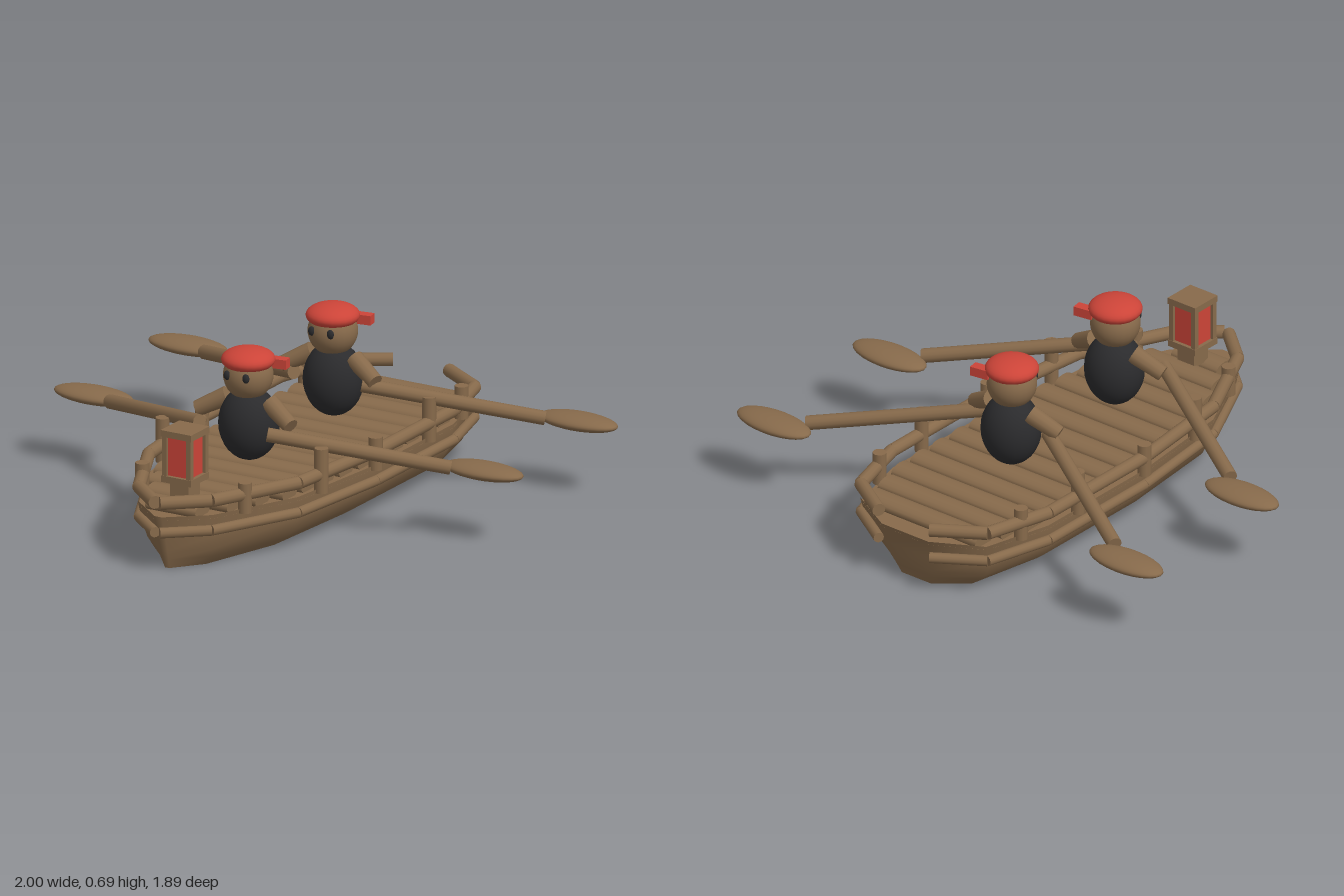
import * as THREE from 'three';

const wood = new THREE.MeshStandardMaterial({ name: 'brown wood', color: 0x876a4b });
const red = new THREE.MeshStandardMaterial({ name: 'red', color: 0xcc4438 });
const black = new THREE.MeshStandardMaterial({ name: 'black', color: 0x2b2b2d });

const V = (x, y, z) => new THREE.Vector3(x, y, z);

function add(parent, name, geometry, material, x = 0, y = 0, z = 0) {
  const mesh = new THREE.Mesh(geometry, material);
  mesh.name = name;
  mesh.position.set(x, y, z);
  parent.add(mesh);
  return mesh;
}

// Cylinder between two points
function rod(parent, name, a, b, r0, r1 = r0, material = wood) {
  const d = b.clone().sub(a);
  const mesh = add(parent, name, new THREE.CylinderGeometry(r1, r0, d.length(), 12), material);
  mesh.position.copy(a).add(b).multiplyScalar(0.5);
  mesh.quaternion.setFromUnitVectors(V(0, 1, 0), d.normalize());
  return mesh;
}

function ellipsoid(parent, name, rx, ry, rz, material, x, y, z) {
  const geometry = new THREE.SphereGeometry(1, 24, 16).scale(rx, ry, rz);
  return add(parent, name, geometry, material, x, y, z);
}

// Half outline of the boat, bow to stern: [half width, z]
const outline = [[0.015, 0.92], [0.16, 0.8], [0.32, 0.46], [0.37, 0], [0.37, -0.55], [0.3, -0.82], [0.11, -0.925]];

function halfWidth(z) {
  for (let i = 1; i < outline.length; i++) {
    const [w0, z0] = outline[i - 1], [w1, z1] = outline[i];
    if (z >= z1) return w0 + (w1 - w0) * (z0 - z) / (z0 - z1);
  }
  return 0.11;
}

// Hull lofted from scaled copies of the outline, with closed bottom and deck
function buildHull(boat) {
  const ring = [...outline, ...outline.map(([w, z]) => [-w, z]).reverse()];
  const n = ring.length;
  const levels = [[0, 0.62, 0.93], [0.035, 0.77, 0.94], [0.07, 0.89, 0.952], [0.13, 0.98, 0.97], [0.215, 1, 1]];
  const pos = [], idx = [];
  levels.forEach(([y, sx, sz]) => ring.forEach(([x, z]) => pos.push(x * sx, y, z * sz)));
  for (let l = 0; l < levels.length - 1; l++) {
    for (let i = 0; i < n; i++) {
      const j = (i + 1) % n;
      const a = l * n + i, b = l * n + j, c = b + n, d = a + n;
      idx.push(a, b, c, a, c, d);
    }
  }
  const side = new THREE.BufferGeometry();
  side.setAttribute('position', new THREE.Float32BufferAttribute(pos, 3));
  side.setIndex(idx);
  side.computeVertexNormals();
  add(boat, 'hull', side, wood);

  const cap = (name, y, sx, sz, up) => {
    const p = [0, y, 0], f = [];
    ring.forEach(([x, z], i) => {
      p.push(x * sx, y, z * sz);
      const a = i + 1, b = (i + 1) % n + 1;
      f.push(0, up ? a : b, up ? b : a);
    });
    const g = new THREE.BufferGeometry();
    g.setAttribute('position', new THREE.Float32BufferAttribute(p, 3));
    g.setIndex(f);
    g.computeVertexNormals();
    add(boat, name, g, wood);
  };
  cap('hullBottom', 0, 0.62, 0.93, false);
  cap('hullFloor', 0.2, 0.998, 0.995, true);
}

function buildRails(boat) {
  const path = [[0.01, 0.925], [0.155, 0.8], [0.32, 0.46], [0.372, 0], [0.372, -0.55], [0.3, -0.815], [0.12, -0.93]];
  for (const s of [1, -1]) {
    for (const [name, y, r] of [['lowerRail', 0.155, 0.02], ['upperRail', 0.27, 0.025]]) {
      for (let i = 1; i < path.length; i++) {
        const [x0, z0] = path[i - 1], [x1, z1] = path[i];
        rod(boat, name, V(s * x0, y, z0), V(s * x1, y, z1), r);
      }
    }
    // Rail posts and taller oar posts
    for (const [x, z, top] of [[0.22, 0.67, 0.315], [0.372, 0, 0.325], [0.335, -0.665, 0.325], [0.34, 0.33, 0.37], [0.37, -0.38, 0.37]]) {
      rod(boat, top > 0.35 ? 'oarPost' : 'railPost', V(s * x, 0.2, z), V(s * x, top, z), 0.026);
    }
  }
}

// Rounded deck planks running across the boat
function buildPlanks(boat) {
  for (let i = 0; i < 15; i++) {
    const z = -0.79 + i * 0.1125;
    const w = Math.min(halfWidth(z) - 0.045, halfWidth(z + 0.05) - 0.01);
    const g = new THREE.CylinderGeometry(1, 1, 2 * w, 16).rotateZ(Math.PI / 2).scale(1, 0.028, 0.051);
    add(boat, 'deckPlank', g, wood, 0, 0.218, z);
  }
}

function buildRower(z) {
  const rower = new THREE.Group();
  rower.name = 'rower';
  rower.position.z = z;
  ellipsoid(rower, 'body', 0.115, 0.14, 0.108, black, 0, 0.395, 0);
  ellipsoid(rower, 'head', 0.093, 0.093, 0.093, wood, 0, 0.582, 0.005);
  ellipsoid(rower, 'cap', 0.1, 0.045, 0.1, red, 0, 0.642, 0.005);
  const knot = add(rower, 'capKnot', new THREE.BoxGeometry(0.075, 0.036, 0.04), red, 0.09, 0.625, -0.06);
  knot.rotation.y = 0.15;
  for (const s of [1, -1]) {
    ellipsoid(rower, 'eye', 0.014, 0.018, 0.01, black, s * 0.04, 0.595, 0.088);
    rod(rower, 'arm', V(s * 0.09, 0.485, 0), V(s * 0.2, 0.425, 0.035), 0.036, 0.03);
  }
  return rower;
}

// Pair of oars; z is the position of the blades
function buildOars(z) {
  const oars = new THREE.Group();
  oars.name = 'oarPair';
  oars.position.z = z;
  for (const s of [1, -1]) {
    rod(oars, 'oarShaft', V(s * 0.145, 0.405, 0.39), V(s * 0.73, 0.285, 0.06), 0.027);
    ellipsoid(oars, 'oarBlade', 0.165, 0.03, 0.075, wood, s * 0.835, 0.275, 0);
  }
  return oars;
}

function buildLantern() {
  const lantern = new THREE.Group();
  lantern.name = 'lantern';
  lantern.position.set(0, 0, 0.73);
  add(lantern, 'lanternStand', new THREE.BoxGeometry(0.08, 0.07, 0.08), wood, 0, 0.27, 0);
  add(lantern, 'lanternBase', new THREE.BoxGeometry(0.128, 0.025, 0.128), wood, 0, 0.315, 0);
  add(lantern, 'lanternRoof', new THREE.BoxGeometry(0.13, 0.025, 0.13), wood, 0, 0.49, 0);
  add(lantern, 'lanternGlass', new THREE.BoxGeometry(0.1, 0.15, 0.1), red, 0, 0.402, 0);
  for (const x of [-0.052, 0.052]) for (const z of [-0.052, 0.052]) {
    add(lantern, 'lanternCorner', new THREE.BoxGeometry(0.02, 0.155, 0.02), wood, x, 0.402, z);
  }
  return lantern;
}

export function createModel() {
  const model = new THREE.Group();
  model.name = 'rowingBoat';
  const boat = new THREE.Group();
  boat.name = 'boat';
  buildHull(boat);
  buildRails(boat);
  buildPlanks(boat);
  model.add(boat, buildLantern());
  model.add(buildRower(0.28), buildRower(-0.315));
  model.add(buildOars(0), buildOars(-0.665));
  return model;
}
